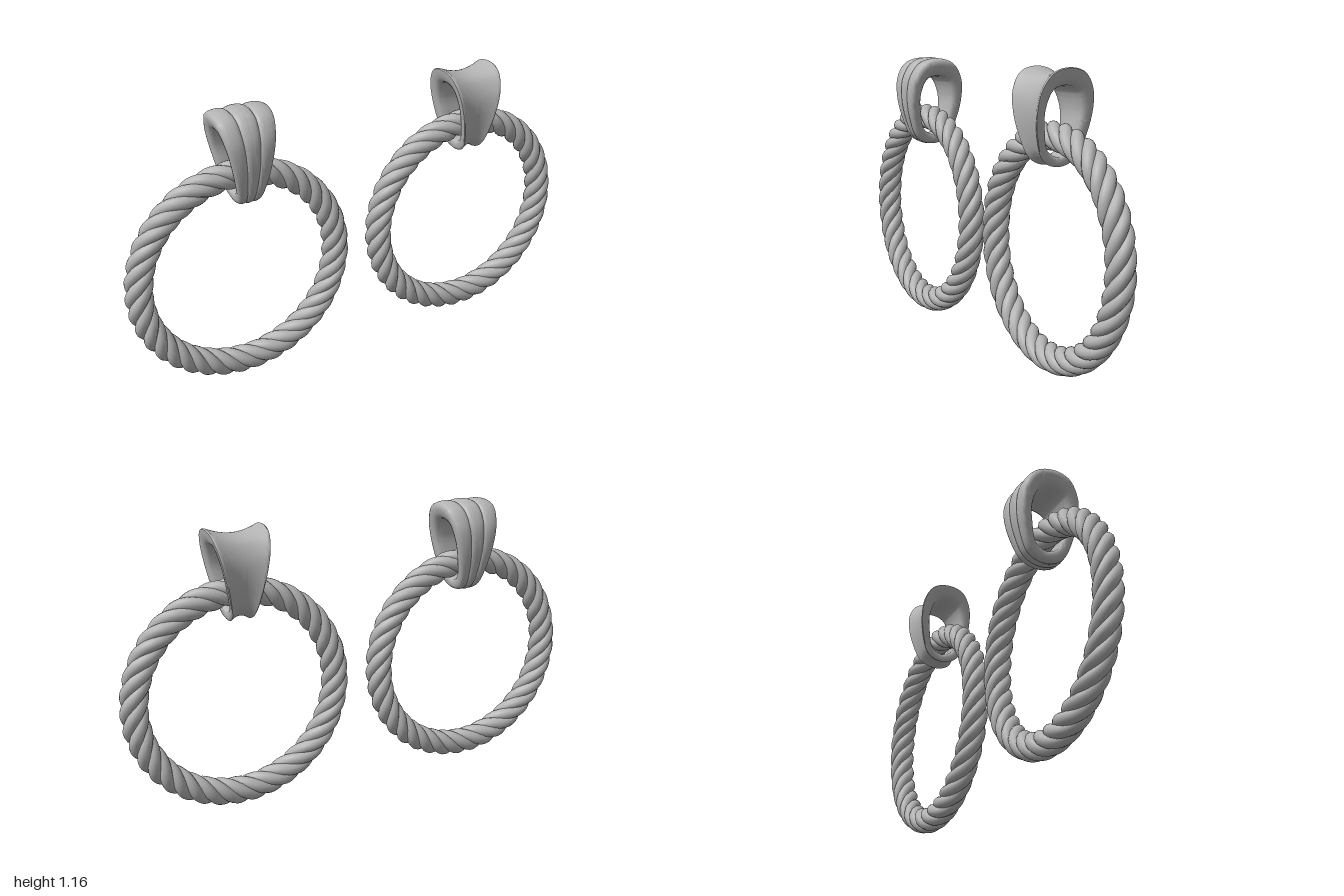
import * as THREE from 'three';
import { toCreasedNormals } from 'three/addons/utils/BufferGeometryUtils.js';

const silver = new THREE.MeshStandardMaterial({ color: 0xb4b4b4 });
silver.name = 'silver';

const RING_RADIUS = 0.42, RING_Y = 0.48, STRANDS = 4, TURNS = 9;

// One strand winding around the ring's circular centre line
class StrandCurve extends THREE.Curve {
  constructor(phase) {
    super();
    this.phase = phase;
    this.arcLengthDivisions = 600;
  }
  getPoint(t, target = new THREE.Vector3()) {
    const a = t * Math.PI * 2, twist = this.phase - TURNS * a, offset = 0.03;
    const r = RING_RADIUS + offset * Math.cos(twist);
    return target.set(r * Math.cos(a), r * Math.sin(a), offset * Math.sin(twist));
  }
}

function ropeRing() {
  const ring = new THREE.Group();
  ring.name = 'ropeRing';
  for (let i = 0; i < STRANDS; i++) {
    const curve = new StrandCurve((i / STRANDS) * Math.PI * 2);
    const strand = new THREE.Mesh(new THREE.TubeGeometry(curve, 320, 0.0255, 12, true), silver);
    strand.name = 'ropeStrand';
    ring.add(strand);
  }
  return ring;
}

// Closed teardrop loop, mirrored front to back, from [z, y] points of one half
function loopCurve(half) {
  const back = half.slice(1, -1).reverse().map(([z, y]) => [-z, y]);
  const pts = [...half, ...back].map(([z, y]) => new THREE.Vector3(0, y, z));
  return new THREE.CatmullRomCurve3(pts, true, 'centripetal');
}
const innerLoop = loopCurve([[0, 1.085], [0.05, 1.068], [0.075, 1.0], [0.07, 0.93], [0.048, 0.85], [0, 0.825]]);
const outerLoop = loopCurve([[0, 1.165], [0.075, 1.145], [0.12, 1.08], [0.13, 1.0], [0.115, 0.9], [0.072, 0.805], [0, 0.78]]);

// Height of the outer face across the band, s from -1 to 1
const ribbed = (s) => {
  const local = ((s + 1) * 1.5) % 1;
  const rib = Math.sqrt(Math.max(0, 1 - (2 * local - 1) ** 2));
  return 0.84 + 0.16 * rib - 0.1 * s * s;
};
const saddle = (s) => 0.5 + 0.36 * s * s;

// Band swept around the loop, narrowing towards the bottom
function bail(name, outerHeight) {
  const profile = [[-0.8, 0.02], [-0.4, 0], [0, 0], [0.4, 0], [0.8, 0.02], [0.91, 0.12], [0.96, 0.3], [0.99, 0.55]];
  const steps = 36;
  for (let k = 0; k <= steps; k++) {
    const s = 1 - (2 * k) / steps;
    profile.push([s * 0.98, outerHeight(s * 0.9999) - (k % steps === 0 ? 0.08 : 0)]);
  }
  profile.push([-0.99, 0.55], [-0.96, 0.3], [-0.91, 0.12]);

  const n = 96, m = profile.length, pos = [], index = [];
  for (let i = 0; i < n; i++) {
    // Match inner and outer points by distance along each half
    const a = innerLoop.getPointAt(i / n), b = outerLoop.getPointAt(i / n);
    for (const [s, f] of profile) {
      const y = a.y + (b.y - a.y) * f, z = a.z + (b.z - a.z) * f;
      const halfWidth = 0.043 + 0.215 * Math.max(0, y - 0.79);
      pos.push(s * halfWidth, y, z);
    }
    for (let j = 0; j < m; j++) {
      const i2 = (i + 1) % n, j2 = (j + 1) % m;
      const p = i * m + j, q = i * m + j2, r = i2 * m + j, t = i2 * m + j2;
      index.push(p, q, r, q, t, r);
    }
  }
  const geometry = new THREE.BufferGeometry();
  geometry.setAttribute('position', new THREE.Float32BufferAttribute(pos, 3));
  geometry.setIndex(index);
  const mesh = new THREE.Mesh(toCreasedNormals(geometry, 0.9), silver);
  mesh.name = name;
  return mesh;
}

export function createModel() {
  const model = new THREE.Group();
  model.name = 'ropeRingPendants';

  // Two twisted rings side by side
  for (const x of [-0.524, 0.524]) {
    const ring = ropeRing();
    ring.position.set(x, RING_Y, 0);
    model.add(ring);
  }

  // Hanging loops: ribbed on one ring, saddle shaped on the other
  const ribbedBail = bail('ribbedBail', ribbed);
  ribbedBail.position.x = -0.497;
  const saddleBail = bail('saddleBail', saddle);
  saddleBail.position.x = 0.516;
  model.add(ribbedBail, saddleBail);
  return model;
}
